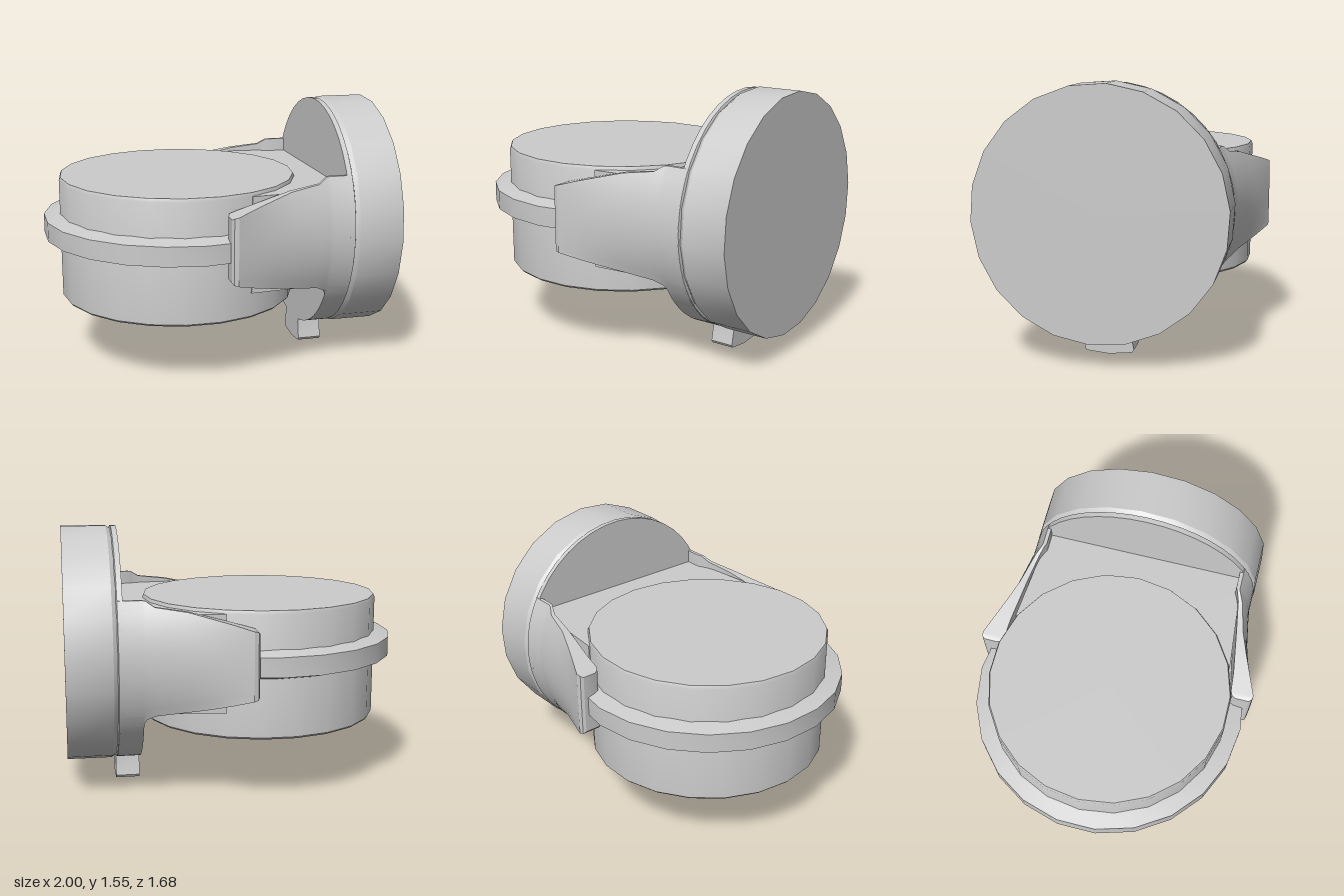
import * as THREE from 'three';
import { toCreasedNormals } from 'three/addons/utils/BufferGeometryUtils.js';

const DRUM_X = -0.195, AXIS_Y = 0.845, RIM = 0.703;

export function createModel() {
  const group = new THREE.Group();
  const material = new THREE.MeshStandardMaterial({ color: 0xcccccc });

  const add = (name, geometry, x = 0, y = 0) => {
    const mesh = new THREE.Mesh(toCreasedNormals(geometry, 0.5), material);
    mesh.name = name;
    mesh.position.set(x, y, 0);
    group.add(mesh);
    return mesh;
  };
  const lathe = (profile, sides, phase = 0) =>
    new THREE.LatheGeometry(profile.map(([r, h]) => new THREE.Vector2(r, h)), sides, phase);
  // Extrudes a z/y outline along x
  const extrudeX = (shape, x0, x1) =>
    new THREE.ExtrudeGeometry(shape, { depth: x1 - x0, bevelEnabled: false, curveSegments: 24 })
      .rotateY(Math.PI / 2).translate(x0, 0, 0);
  const polygon = (pts) => new THREE.Shape(pts.map(([a, b]) => new THREE.Vector2(a, b)));

  // Upright drum and the collar around its middle
  add('drum', lathe([[0, 0.385], [0.7, 0.385], [0.713, 0.398], [0.716, 1.11],
    [0.708, 1.13], [0.69, 1.13], [0, 1.13]], 22, Math.PI / 2), DRUM_X);
  add('drumCollar', lathe([[0.69, 0.735], [0.81, 0.77], [0.81, 0.885], [0.69, 0.913]], 22), DRUM_X);

  // Round mounting base lying on its side, and the thin flange against it
  add('mountingBase', lathe([[0, 0.705], [0.69, 0.705], [0.71, 0.735], [0.71, 1], [0, 1]], 22)
    .rotateZ(-Math.PI / 2).rotateX(0.073), 0, AXIS_Y);
  add('yokeFlange', lathe([[0, 0.675], [RIM, 0.675], [RIM, 0.706], [0.69, 0.712], [0, 0.712]], 44)
    .rotateZ(-Math.PI / 2), 0, AXIS_Y);

  // Thick lower part of the flange: a segment of the circle
  const cut = Math.asin((0.53 - AXIS_Y) / RIM);
  const segment = new THREE.Shape();
  segment.absarc(0, AXIS_Y, RIM, -Math.PI - cut, cut, false);
  segment.closePath();
  add('lowerFlange', extrudeX(segment, 0.565, 0.7));

  // Flared locating lug under the flange
  add('lug', extrudeX(polygon([[-0.12, 0.2], [-0.122, 0.13], [-0.142, 0.03], [-0.132, 0.014],
    [0, 0], [0.132, 0.014], [0.142, 0.03], [0.122, 0.13], [0.12, 0.2]]), 0.565, 0.708));

  // Solid web between the drum, the arms and the flange
  const web = polygon([[0.1, -0.66], [0.55, -0.62], [0.7, -0.62],
    [0.7, 0.62], [0.55, 0.62], [0.1, 0.66]]);
  add('yokeWeb', new THREE.ExtrudeGeometry(web, { depth: 0.57, bevelEnabled: false })
    .rotateX(Math.PI / 2).translate(0, 1.11, 0));

  // Arms, one lofted and one mirrored
  add('leftArm', armGeometry(1));
  add('rightArm', armGeometry(-1));
  return group;
}

// Lofted arm: round where it leaves the flange, flattening towards the tip
function armGeometry(side) {
  // x, bottom, top, inner z, outer z, roundness
  const stations = [
    [-0.06, 0.665, 1.025, 0.735, 0.815, 0.05],
    [-0.05, 0.652, 1.034, 0.712, 0.832, 0.05],
    [-0.025, 0.645, 1.04, 0.70, 0.838, 0.06],
    [0.08, 0.615, 1.07, 0.69, 0.805, 0.4],
    [0.2, 0.585, 1.1, 0.67, 0.772, 0.7],
    [0.32, 0.562, 1.13, 0.65, 0.742, 0.85],
    [0.5, 0.535, 1.155, 0.62, 0.713, 0.95],
    [0.55, 0.51, 1.188, 0.6, 0.706, 1],
    [0.57, 0.47, 1.19, 0.59, RIM, 1],
    [0.705, 0.47, 1.19, 0.59, RIM, 1],
  ];
  const steps = 12, ring = steps + 3;
  const positions = [], index = [];
  for (const [x, low, high, inner, outer, round] of stations) {
    positions.push(x, low, side * Math.min(inner, 0.735));
    for (let j = 0; j <= steps; j++) {
      const y = low + (high - low) * j / steps;
      const sag = RIM - Math.sqrt(RIM * RIM - (y - AXIS_Y) ** 2);
      positions.push(x, y, side * Math.max(outer - round * sag, inner));
    }
    positions.push(x, high, side * inner);
  }
  const tri = (a, b, c) => (side > 0 ? index.push(a, b, c) : index.push(a, c, b));
  for (let i = 0; i < stations.length - 1; i++) {
    for (let j = 0; j < ring; j++) {
      const a = i * ring + j, b = i * ring + (j + 1) % ring;
      tri(a, a + ring, b);
      tri(b, a + ring, b + ring);
    }
  }
  // End caps
  const last = (stations.length - 1) * ring;
  for (let j = 1; j < ring - 1; j++) {
    tri(0, j, j + 1);
    tri(last, last + j + 1, last + j);
  }
  const geometry = new THREE.BufferGeometry();
  geometry.setAttribute('position', new THREE.Float32BufferAttribute(positions, 3));
  geometry.setIndex(index);
  return geometry;
}
